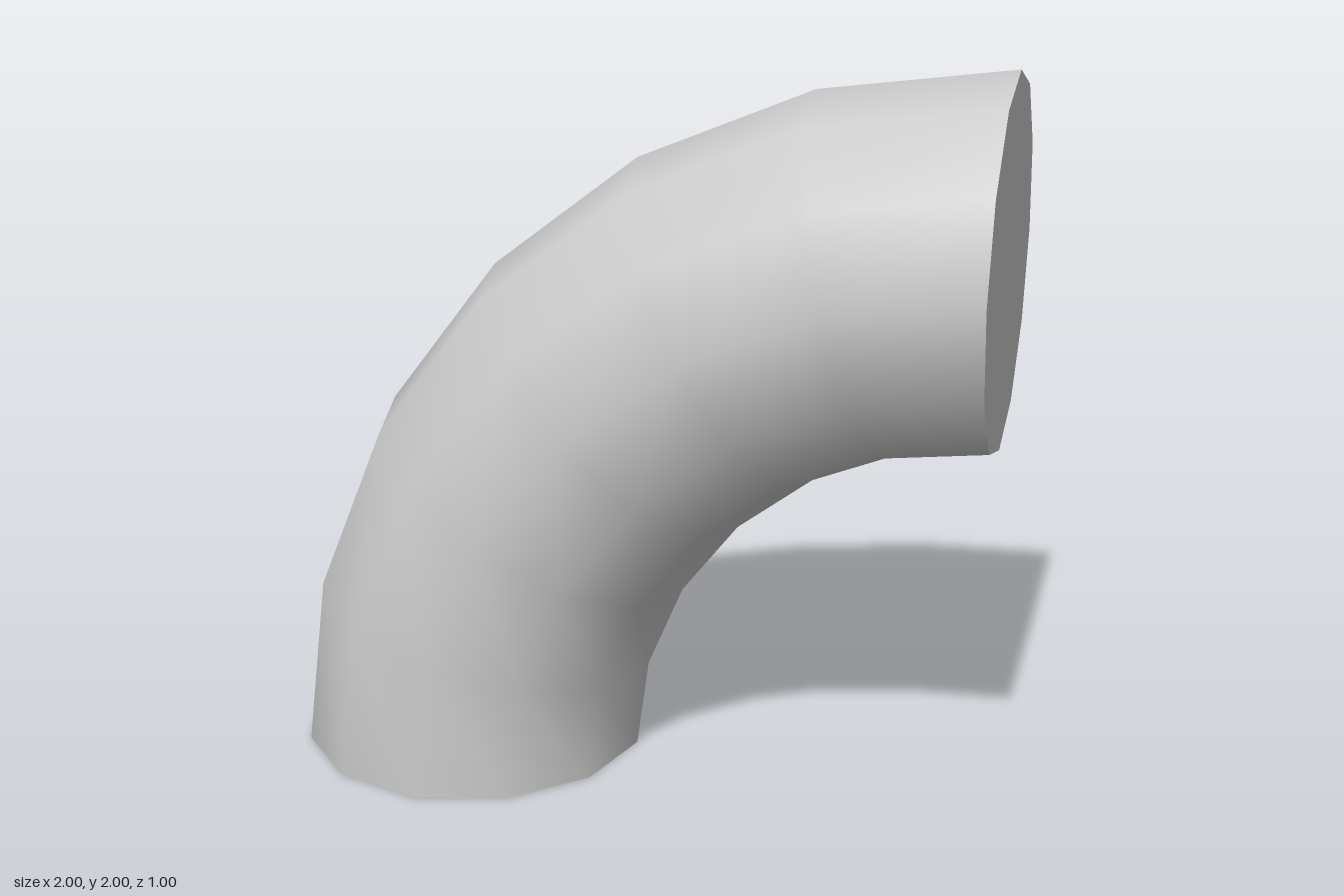
import * as THREE from 'three';

const BEND = 1.5, RADIUS = 0.5, SIDES = 12, STEPS = 6;

export function createModel() {
  const group = new THREE.Group();
  group.name = 'pipeElbow';
  const material = new THREE.MeshStandardMaterial({ color: 0xcccccc });

  const add = (name, geometry, x, y) => {
    const mesh = new THREE.Mesh(geometry, material);
    mesh.name = name;
    mesh.position.set(x, y, 0);
    group.add(mesh);
  };

  // Quarter bend, from the upright foot over to the sideways mouth
  const bend = new THREE.TorusGeometry(BEND, RADIUS, SIDES, STEPS, Math.PI / 2);
  add('bend', bend.rotateZ(Math.PI / 2), 1, 0);

  // Flat end caps
  const cap = () => new THREE.CircleGeometry(RADIUS, SIDES);
  add('bottomCap', cap().rotateX(Math.PI / 2), 1 - BEND, 0);
  add('sideCap', cap().rotateY(Math.PI / 2), 1, BEND);

  return group;
}
